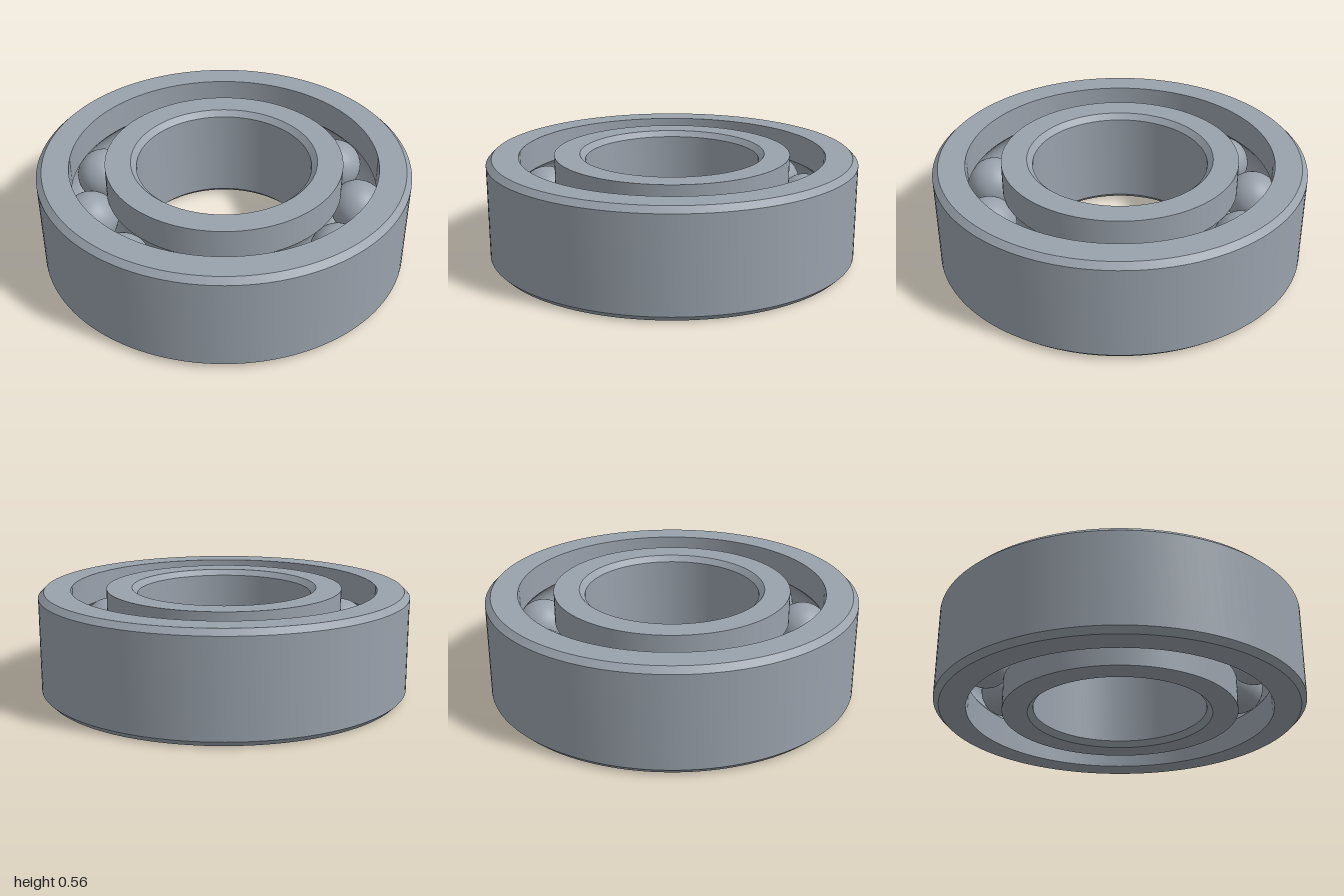
import * as THREE from 'three';
import { toCreasedNormals } from 'three/addons/utils/BufferGeometryUtils.js';

const HEIGHT = 0.565, MID = HEIGHT / 2, CHAMFER = 0.03;
const PITCH = 0.733, BALL_RADIUS = 0.147, GROOVE_RADIUS = 0.149;
const BALL_COUNT = 11, FIRST_BALL = THREE.MathUtils.degToRad(11.7);

// Points of the ball groove between the two edges of a shoulder of the given radius
function groove(shoulder) {
  const dx = shoulder - PITCH;
  const half = Math.acos(Math.abs(dx) / GROOVE_RADIUS);
  const points = [];
  for (let i = 0; i <= 16; i++) {
    const a = half * (i / 8 - 1);
    points.push([
      PITCH + Math.sign(dx) * GROOVE_RADIUS * Math.cos(a),
      MID + GROOVE_RADIUS * Math.sin(a),
    ]);
  }
  return points;
}

// Revolve a closed counter-clockwise (radius, height) profile
function ring(name, profile, material) {
  const points = [...profile, profile[0]].map(([r, y]) => new THREE.Vector2(r, y));
  const geometry = toCreasedNormals(new THREE.LatheGeometry(points, 128), Math.PI / 7);
  const mesh = new THREE.Mesh(geometry, material);
  mesh.name = name;
  return mesh;
}

export function createModel() {
  const model = new THREE.Group();
  model.name = 'ballBearing';
  const steel = new THREE.MeshStandardMaterial({ color: 0x99a1ab });
  steel.name = 'steel';

  // Outer ring: chamfered outside, grooved inside
  model.add(ring('outerRing', [
    [0.827, 0], [1 - CHAMFER, 0], [1, CHAMFER],
    [1, HEIGHT - CHAMFER], [1 - CHAMFER, HEIGHT], [0.827, HEIGHT],
    ...groove(0.827).reverse(),
  ], steel));

  // Inner ring: chamfered bore, grooved outside
  const bore = 0.47;
  model.add(ring('innerRing', [
    [bore + CHAMFER, 0], [0.637, 0],
    ...groove(0.637),
    [0.637, HEIGHT], [bore + CHAMFER, HEIGHT],
    [bore, HEIGHT - CHAMFER], [bore, CHAMFER],
  ], steel));

  // Balls evenly spaced around the race
  const balls = new THREE.Group();
  balls.name = 'balls';
  const ballGeometry = new THREE.SphereGeometry(BALL_RADIUS, 40, 24);
  for (let i = 0; i < BALL_COUNT; i++) {
    const a = FIRST_BALL + (i / BALL_COUNT) * Math.PI * 2;
    const ball = new THREE.Mesh(ballGeometry, steel);
    ball.name = 'ball';
    ball.position.set(PITCH * Math.cos(a), MID, PITCH * Math.sin(a));
    balls.add(ball);
  }
  model.add(balls);
  return model;
}
